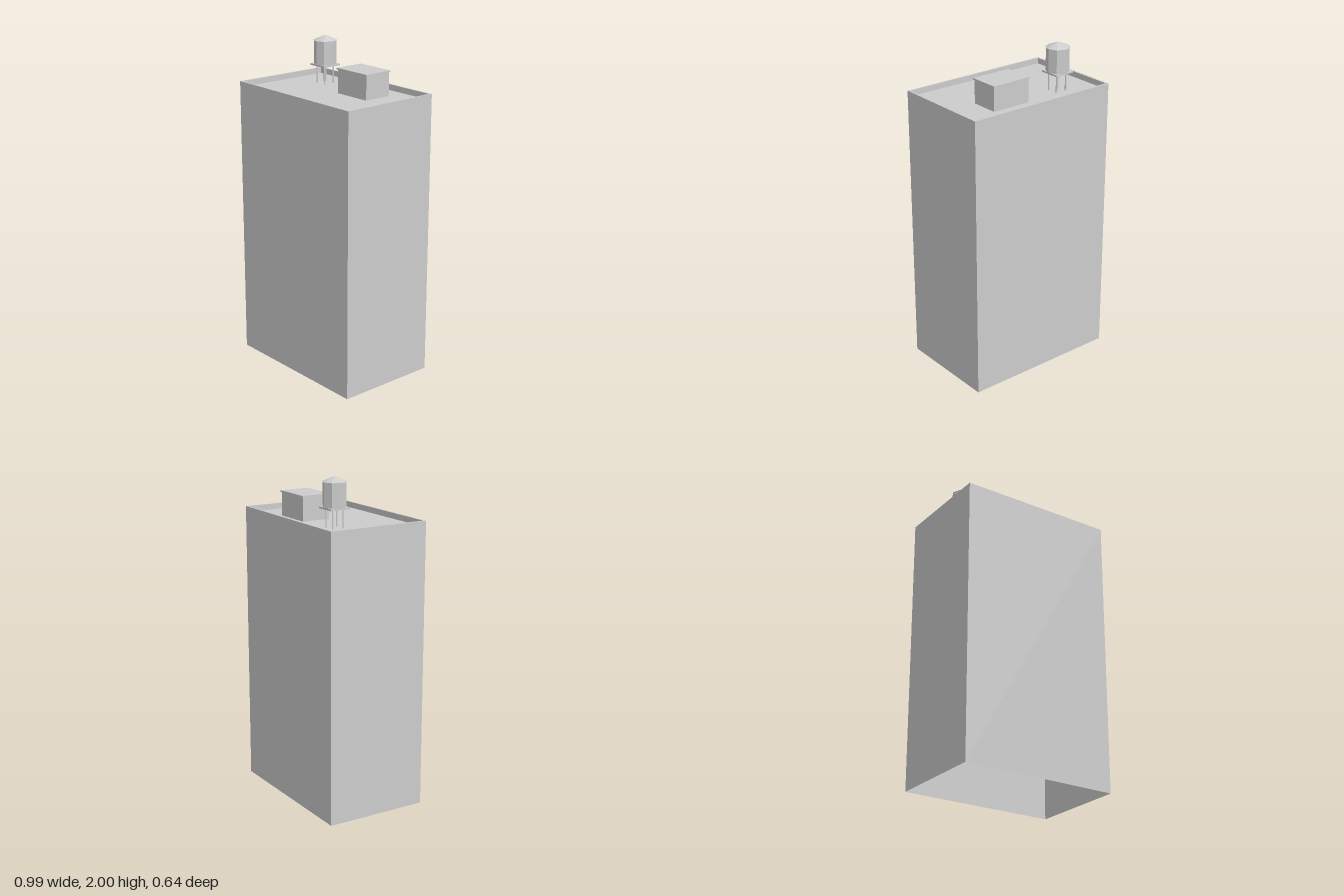
import * as THREE from 'three';

export function createModel() {
  const group = new THREE.Group();
  group.name = 'towerBlock';
  const grey = new THREE.MeshStandardMaterial({ color: 0xcccccc, side: THREE.DoubleSide, flatShading: true });
  grey.name = 'plainGrey';

  const add = (name, geometry, x = 0, y = 0, z = 0, parent = group) => {
    const mesh = new THREE.Mesh(geometry, grey);
    mesh.name = name;
    mesh.position.set(x, y, z);
    parent.add(mesh);
    return mesh;
  };

  // Four-sided shell through rectangular rings of [halfX, y, halfZ]
  const shell = (rings) => {
    const corner = ([w, y, d], i) => {
      const [sx, sz] = [[1, 1], [1, -1], [-1, -1], [-1, 1]][i % 4];
      return [sx * w, y, sz * d];
    };
    const pos = [];
    for (let r = 0; r < rings.length - 1; r++) {
      for (let i = 0; i < 4; i++) {
        const a = corner(rings[r], i), b = corner(rings[r], i + 1);
        const c = corner(rings[r + 1], i + 1), d = corner(rings[r + 1], i);
        pos.push(...a, ...b, ...c, ...a, ...c, ...d);
      }
    }
    const g = new THREE.BufferGeometry();
    g.setAttribute('position', new THREE.Float32BufferAttribute(pos, 3));
    g.computeVertexNormals();
    return g;
  };

  // Outer walls, parapet rim and parapet inside; open at the bottom
  const W = 0.494, D = 0.319, T = 0.012, TOP = 1.74, ROOF = 1.705;
  add('wallsAndParapet', shell([[W, 0, D], [W, TOP, D], [W - T, TOP, D - T], [W - T, ROOF, D - T]]));

  // Sunken roof deck
  const deck = new THREE.PlaneGeometry(2 * (W - T), 2 * (D - T)).rotateX(-Math.PI / 2);
  add('roofDeck', deck, 0, ROOF, 0);

  // Stair house with a thin overhanging cap
  const house = new THREE.Group();
  house.name = 'stairHouse';
  house.position.set(0.14, ROOF, -0.107);
  group.add(house);
  add('stairHouseWalls', new THREE.BoxGeometry(0.248, 0.142, 0.177), 0, 0.071, 0, house);
  add('stairHouseCap', new THREE.BoxGeometry(0.259, 0.01, 0.188), 0, 0.147, 0, house);

  // Water tank on a square platform with four legs
  const tank = new THREE.Group();
  tank.name = 'waterTank';
  tank.position.set(-0.248, 0, -0.143);
  group.add(tank);
  for (const sx of [-1, 1]) {
    for (const sz of [-1, 1]) {
      const leg = new THREE.CylinderGeometry(0.005, 0.005, 0.11, 6);
      add('tankLeg', leg, sx * 0.035, ROOF + 0.055, sz * 0.035, tank);
    }
  }
  add('tankPlatform', new THREE.BoxGeometry(0.128, 0.01, 0.128), 0, 1.82, 0, tank);
  add('tankBarrel', new THREE.CylinderGeometry(0.069, 0.069, 0.145, 8), 0, 1.8975, 0, tank);
  add('tankRoof', new THREE.ConeGeometry(0.075, 0.03, 8), 0, 1.985, 0, tank);

  return group;
}
